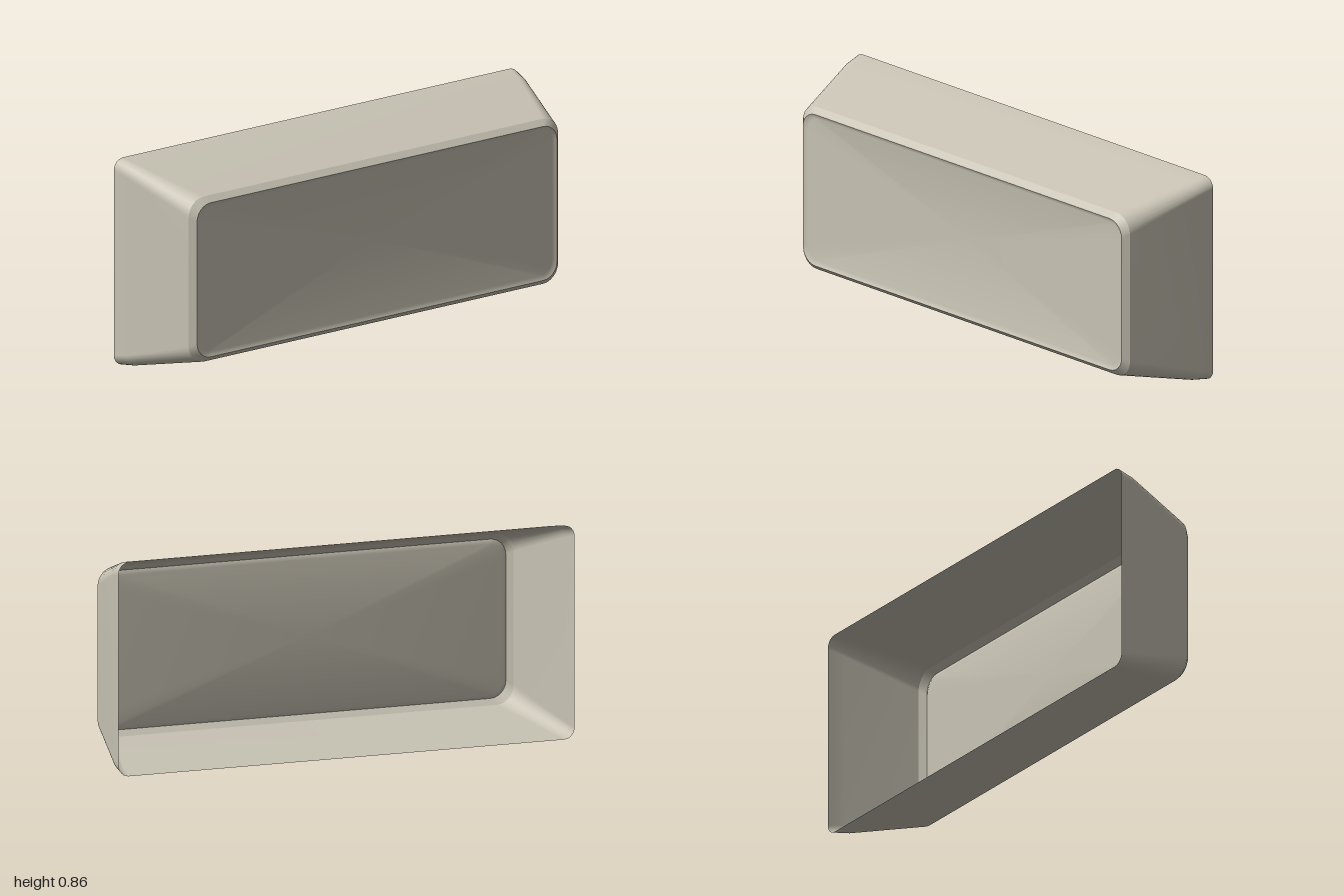
import * as THREE from 'three';

const CENTRE_Y = 0.431;
const CORNER_STEPS = 6;

// Rounded rectangle of points, counter-clockwise as seen from the front
function ring([halfW, halfH, radius, z]) {
  const points = [];
  const corners = [[1, 1], [-1, 1], [-1, -1], [1, -1]];
  corners.forEach(([sx, sy], c) => {
    for (let i = 0; i <= CORNER_STEPS; i++) {
      const a = (c + i / CORNER_STEPS) * Math.PI / 2;
      points.push(
        sx * (halfW - radius) + Math.cos(a) * radius,
        CENTRE_Y + sy * (halfH - radius) + Math.sin(a) * radius,
        z
      );
    }
  });
  return points;
}

// Smooth skin through consecutive rings, optionally closed by a centre point
function loft(sections, centreZ) {
  const n = 4 * (CORNER_STEPS + 1);
  const positions = sections.flatMap(ring);
  const index = [];
  for (let s = 0; s < sections.length - 1; s++) {
    for (let i = 0; i < n; i++) {
      const a = s * n + i, b = s * n + (i + 1) % n;
      index.push(a, b, b + n, a, b + n, a + n);
    }
  }
  if (centreZ !== undefined) {
    const last = (sections.length - 1) * n;
    positions.push(0, CENTRE_Y, centreZ);
    for (let i = 0; i < n; i++) {
      index.push(last + i, last + (i + 1) % n, sections.length * n);
    }
  }
  const geometry = new THREE.BufferGeometry();
  geometry.setAttribute('position', new THREE.Float32BufferAttribute(positions, 3));
  geometry.setIndex(index);
  geometry.computeVertexNormals();
  return geometry;
}

export function createModel() {
  const group = new THREE.Group();
  group.name = 'keycap';
  const shell = new THREE.MeshStandardMaterial({ color: 0xc8c3b4, side: THREE.DoubleSide });
  shell.name = 'warm grey plastic';

  const add = (name, geometry) => {
    const mesh = new THREE.Mesh(geometry, shell);
    mesh.name = name;
    group.add(mesh);
  };

  // Sections are [half width, half height, corner radius, z]
  const shoulder = [0.913, 0.344, 0.075, 0.178];
  const rim = [0.89, 0.321, 0.068, 0.202];

  // Tapered walls, open at the back
  add('walls', loft([[1, 0.431, 0.045, -0.202], [0.99, 0.42, 0.05, -0.13], shoulder]));
  // Chamfer around the front
  add('chamfer', loft([shoulder, rim]));
  // Shallow concave front face
  add('dish', loft([rim, [0.872, 0.303, 0.06, 0.192]], 0.165));

  return group;
}
